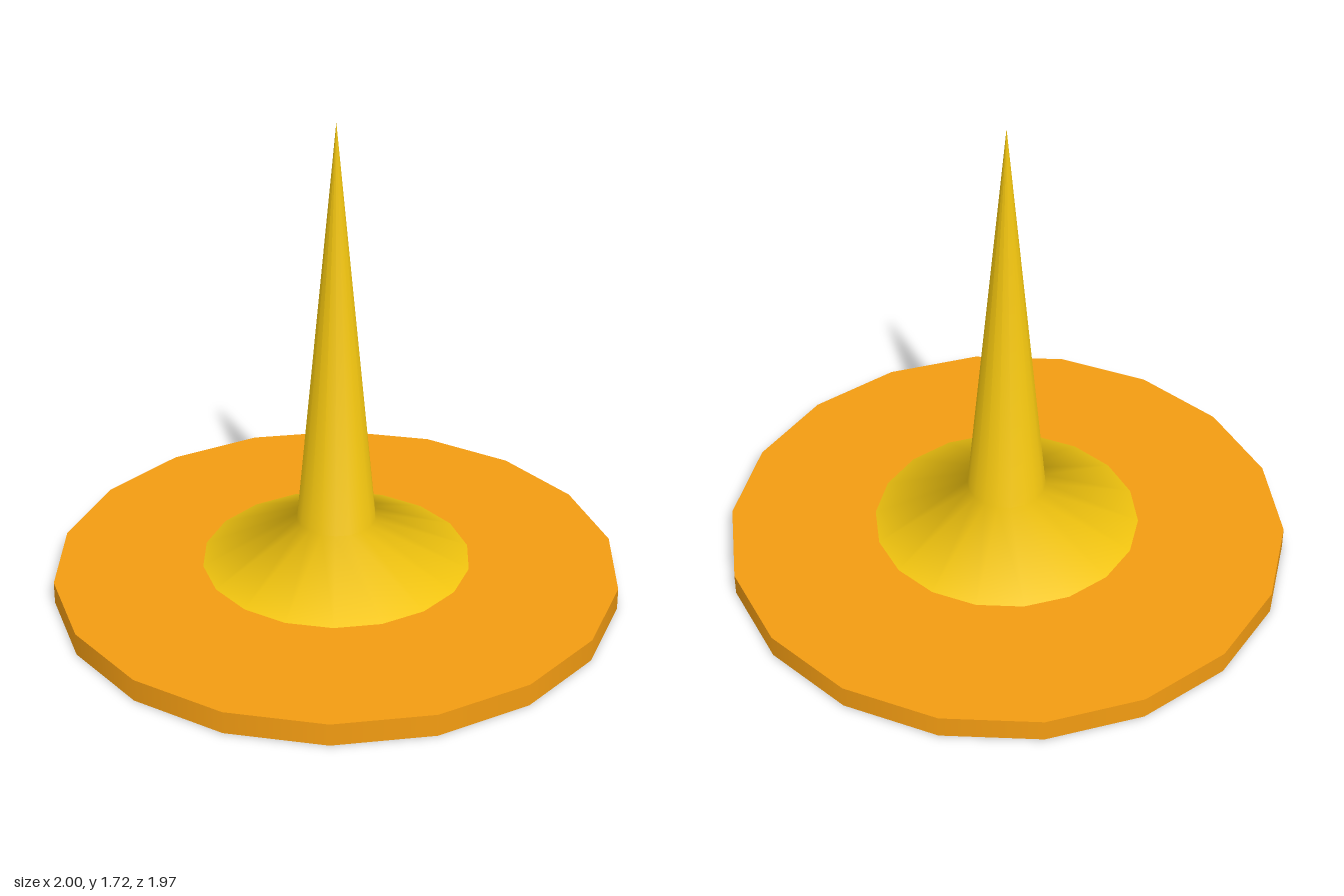
import * as THREE from 'three';

const SIDES = 18;

export function createModel() {
  const model = new THREE.Group();
  model.name = 'spikeOnDisc';

  // Flat base disc, with a corner on the x axis
  const disc = new THREE.Mesh(
    new THREE.CylinderGeometry(1, 1, 0.08, SIDES).rotateY(Math.PI / 2).translate(0, 0.04, 0),
    new THREE.MeshStandardMaterial({ color: 0xf39c12 })
  );
  disc.name = 'baseDisc';
  model.add(disc);

  // Flared skirt running into a tall spike, floating just above the disc
  const profile = [[0.475, 0.1], [0.14, 0.26], [0, 1.72]].map(([r, y]) => new THREE.Vector2(r, y));
  const spike = new THREE.Mesh(
    new THREE.LatheGeometry(profile, SIDES).rotateY(Math.PI / 2),
    new THREE.MeshStandardMaterial({ color: 0xf1c40f, side: THREE.DoubleSide })
  );
  spike.name = 'flaredSpike';
  model.add(spike);

  return model;
}
